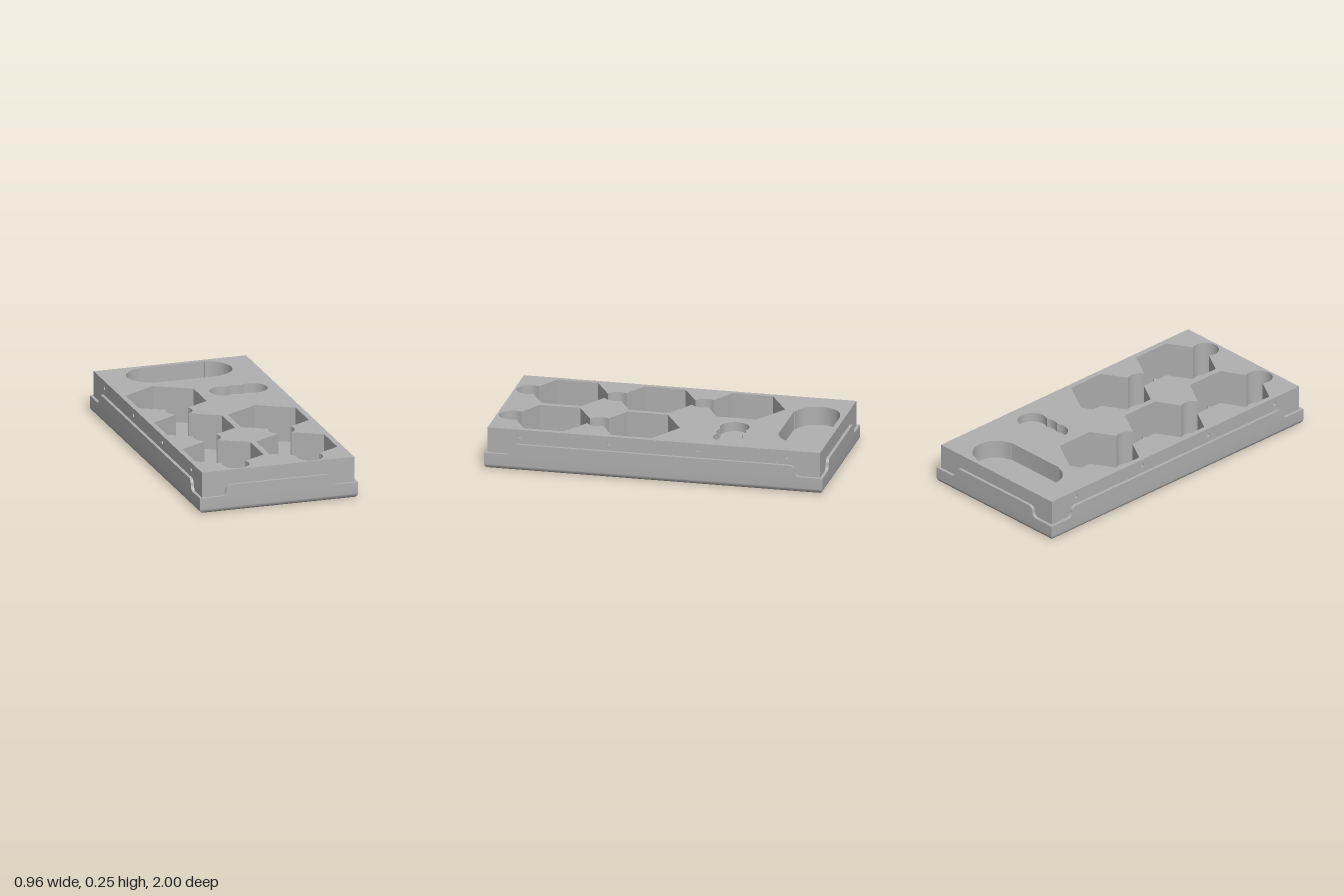
import * as THREE from 'three';
import { toCreasedNormals } from 'three/addons/utils/BufferGeometryUtils.js';

const HX = 0.48, HZ = 1, TOP = 0.245, FLOOR = 0.035, LEDGE = 0.095, LIP = 0.16, T = 0.018;

// outline of a column of hexagonal pockets, each with a round finger notch at its +z end
function hexColumn(cx, centres) {
  const R = 0.238, w = R * Math.sqrt(3) / 2, r = 0.077, notch = 0.235;
  const half = [];
  centres.forEach((c, i) => {
    if (i === 0) half.push([0, c - R]);
    half.push([w, c - R / 2], [w, c + R / 2]);
    const start = Math.atan2(0.0675, -0.037);
    const end = i < centres.length - 1 ? Math.atan2(0.039, 0.0665) : 0;
    for (let k = 0; k <= 12; k++) {
      const a = start + (end - start) * k / 12;
      half.push([r * Math.sin(a), c + notch + r * Math.cos(a)]);
    }
  });
  const mirrored = half.slice(1, -1).reverse().map(([x, z]) => [-x, z]);
  return half.concat(mirrored).map(([x, z]) => new THREE.Vector2(cx + x, z));
}

// long slot with round ends
function longSlot() {
  const p = new THREE.Path(), a = Math.PI / 2 - 0.149, z = -0.813;
  p.moveTo(-0.2, z - 0.14).lineTo(0.2, z - 0.14);
  p.absarc(0.18, z, 0.135, -a, a, false);
  p.lineTo(0.2, z + 0.14).lineTo(-0.2, z + 0.14);
  p.absarc(-0.18, z, 0.135, Math.PI - a, Math.PI + a, false);
  return p.getPoints(20);
}

// three overlapping circles
function tripleSlot() {
  const p = new THREE.Path(), r = 0.085, d = 0.087, x = 0.222, z = -0.402;
  const a = Math.acos(d / 2 / r), PI = Math.PI;
  p.absarc(x + d, z, r, a - PI, PI - a, false);
  p.absarc(x, z, r, a, PI - a, false);
  p.absarc(x - d, z, r, a, 2 * PI - a, false);
  p.absarc(x, z, r, PI + a, 2 * PI - a, false);
  return p.getPoints(16);
}

// extrude an x,z outline downward from y = top to y = bottom
function slab(shape, top, bottom) {
  const g = new THREE.ExtrudeGeometry(shape, { depth: top - bottom, bevelEnabled: false, curveSegments: 16 });
  g.rotateX(Math.PI / 2).translate(0, top, 0);
  return toCreasedNormals(g, 0.45);
}

function rectShape(x, y0, y1) {
  return new THREE.Shape([[-x, y0], [x, y0], [x, y1], [-x, y1]].map(p => new THREE.Vector2(...p)));
}

// tray base: rectangular rings with a rounded bottom edge and a ledge on top
function baseGeometry() {
  const r = 0.03, rings = [[HX, 0]], pos = [];
  for (let i = 0; i <= 8; i++) {
    const a = i / 8 * Math.PI / 2;
    rings.push([r * (1 - Math.sin(a)), r * (1 - Math.cos(a))]);
  }
  rings.push([0, LEDGE], [T + 0.002, LEDGE]);
  const signs = [[1, 1], [1, -1], [-1, -1], [-1, 1]];
  const at = ([inset, y], k) => {
    const [sx, sz] = signs[k % 4];
    return [sx * (HX - inset), y, sz * (HZ - inset)];
  };
  for (let i = 0; i < rings.length - 1; i++) {
    for (let k = 0; k < 4; k++) {
      const a = at(rings[i], k), b = at(rings[i], k + 1);
      const c = at(rings[i + 1], k + 1), d = at(rings[i + 1], k);
      pos.push(...a, ...b, ...c, ...a, ...c, ...d);
    }
  }
  const g = new THREE.BufferGeometry();
  g.setAttribute('position', new THREE.Float32BufferAttribute(pos, 3));
  return toCreasedNormals(g, 0.5);
}

// raised lip with S-curved ends; "half" is where its steep flank stands
function lipGeometry(half) {
  const r = (LIP - LEDGE) / 2, s = new THREE.Shape(), PI = Math.PI;
  s.moveTo(-half - r, LEDGE).lineTo(half + r, LEDGE);
  s.absarc(half + r, LEDGE + r, r, -PI / 2, -PI, true);
  s.absarc(half - r, LIP - r, r, 0, PI / 2, false);
  s.lineTo(-half + r, LIP);
  s.absarc(-half + r, LIP - r, r, PI / 2, PI, false);
  s.absarc(-half - r, LEDGE + r, r, 0, -PI / 2, true);
  return toCreasedNormals(new THREE.ExtrudeGeometry(s, { depth: T, bevelEnabled: false, curveSegments: 10 }), 0.5);
}

export function createModel() {
  const group = new THREE.Group();
  group.name = 'storageTray';
  const grey = new THREE.MeshStandardMaterial({ color: 0xb0b0b0 });
  grey.name = 'grey';
  const add = (name, geometry) => {
    const m = new THREE.Mesh(geometry, grey);
    m.name = name;
    group.add(m);
    return m;
  };

  // insert block with all pockets cut through
  const bx = HX - T, bz = HZ - T, panel = 0.012;
  const pill = longSlot(), triple = tripleSlot();
  const block = rectShape(bx - panel, -bz, bz);
  const pockets = [hexColumn(-0.2255, [-0.3775, 0.1395, 0.6565]), hexColumn(0.222, [0.1395, 0.6565]), pill, triple];
  block.holes = pockets.map(p => new THREE.Path(p));
  add('insertBlock', slab(block, TOP, FLOOR));

  // pocket floors
  add('longSlotFloor', slab(new THREE.Shape(pill), TOP - 0.11, FLOOR));
  add('tripleSlotFloor', slab(new THREE.Shape(triple), TOP - 0.055, FLOOR));
  add('pocketFloor', new THREE.BoxGeometry(2 * bx, 0.015, 2 * bz).translate(0, FLOOR - 0.0075, 0));

  // side panels with small round dimples
  const side = rectShape(bz, FLOOR, TOP);
  side.holes = [-0.7875, -0.2625, 0.2625, 0.7875].map(z => new THREE.Path().absarc(z, 0.205, 0.012, 0, Math.PI * 2, true));
  const sideGeometry = toCreasedNormals(new THREE.ExtrudeGeometry(side, { depth: panel, bevelEnabled: false, curveSegments: 10 }), 0.8);
  for (const s of [1, -1]) {
    const m = add(s > 0 ? 'leftPanel' : 'rightPanel', sideGeometry);
    m.rotation.y = s * Math.PI / 2;
    m.position.x = s * (bx - panel);
  }

  // outer base and its four raised lips
  add('base', baseGeometry());
  const endLip = lipGeometry(0.32), sideLip = lipGeometry(0.835);
  for (const s of [1, -1]) {
    const e = add(s > 0 ? 'frontLip' : 'backLip', endLip);
    e.rotation.y = s > 0 ? 0 : Math.PI;
    e.position.z = s * bz;
    const l = add(s > 0 ? 'leftLip' : 'rightLip', sideLip);
    l.rotation.y = s * Math.PI / 2;
    l.position.x = s * bx;
  }
  return group;
}
